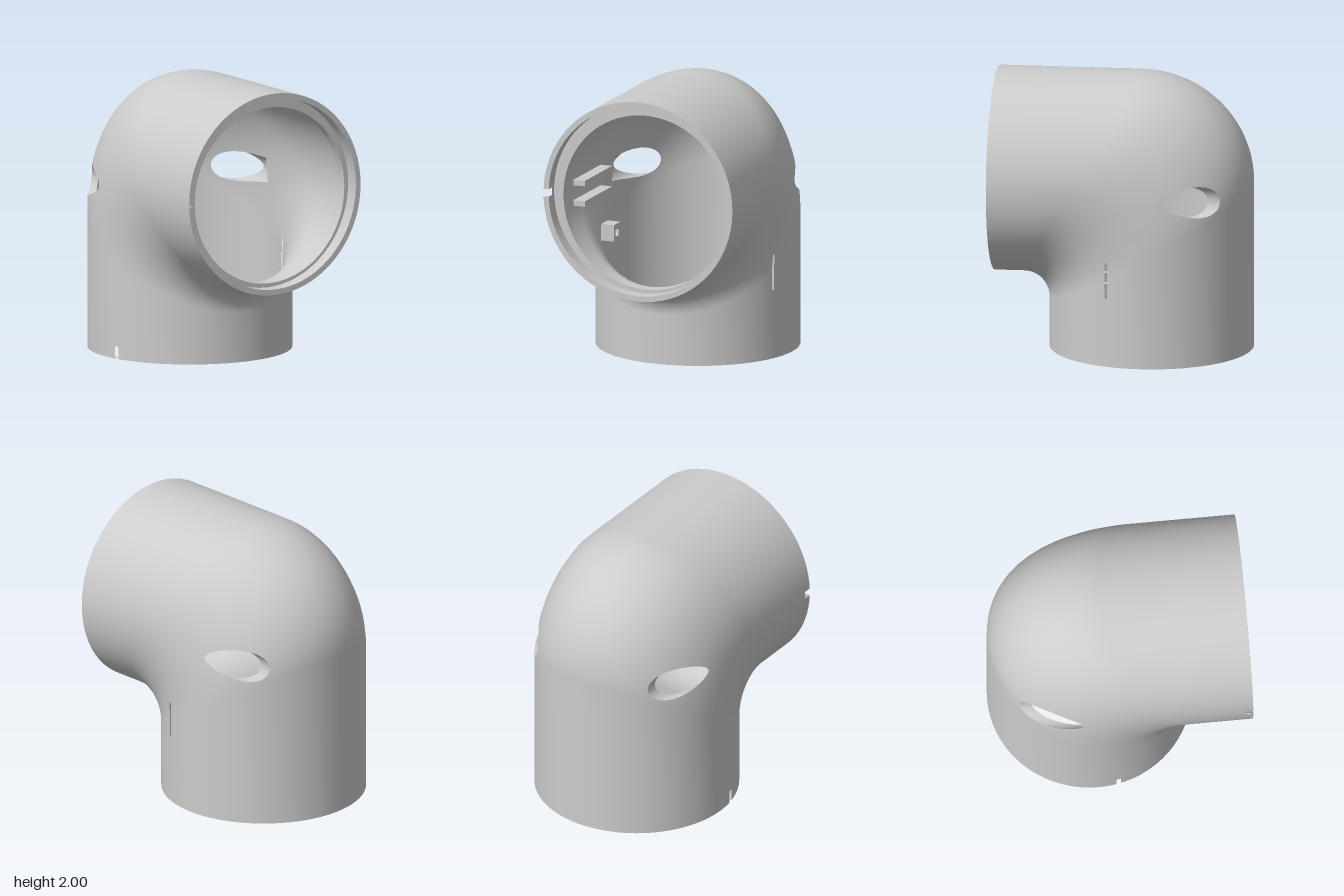
import * as THREE from 'three';
import { toCreasedNormals } from 'three/addons/utils/BufferGeometryUtils.js';

const AXIS_Y = 1.27, AXIS_Z = -0.185, OUT = 0.73, IN = 0.67, FRONT = 0.92, LIP = 0.82;
const BEND = 0.49, SEGS = 72, ARC = 22;

// Elbow skin: two crossing cylinders whose meeting line is rounded by a varying radius
function elbowGeometry(R, vary, frontZ, inward) {
  const pos = [], index = [], rows = ARC + 3;
  for (let i = 0; i < SEGS; i++) {
    const phi = (i / SEGS) * Math.PI * 2, c = Math.cos(phi), x = R * Math.sin(phi), d = R * c;
    const r = BEND + vary * c, zc = AXIS_Z - d + r, yc = AXIS_Y + d - r;
    pos.push(x, AXIS_Y + d, frontZ);
    for (let k = 0; k <= ARC; k++) {
      const t = (k / ARC) * Math.PI / 2;
      pos.push(x, yc + r * Math.cos(t), zc - r * Math.sin(t));
    }
    pos.push(x, 0, AXIS_Z - d);
    for (let j = 0; j < rows - 1; j++) {
      const a = i * rows + j, b = ((i + 1) % SEGS) * rows + j;
      if (inward) index.push(a, a + 1, b, b, a + 1, b + 1);
      else index.push(a, b, a + 1, b, b + 1, a + 1);
    }
  }
  const g = new THREE.BufferGeometry();
  g.setAttribute('position', new THREE.Float32BufferAttribute(pos, 3));
  g.setIndex(index);
  g.computeVertexNormals();
  return g;
}

// Depth of the rear wall at a given x, y
function rearZ(x, y, R, vary) {
  const c = Math.sqrt(Math.max(0, 1 - (x / R) ** 2)), d = R * c, r = BEND + vary * c;
  const h = y - (AXIS_Y + d - r);
  return h > 0 ? AXIS_Z - d + r - Math.sqrt(r * r - h * h) : AXIS_Z - d;
}

// Keeps the part of a polygon on one side of a plane [nx, ny, nz, w]
function clip(poly, p, sign) {
  const out = [], f = v => sign * (v[0] * p[0] + v[1] * p[1] + v[2] * p[2] - p[3]);
  poly.forEach((a, i) => {
    const b = poly[(i + 1) % poly.length], fa = f(a), fb = f(b);
    if (fa >= 0) out.push(a);
    if ((fa > 0 && fb < 0) || (fa < 0 && fb > 0)) {
      const t = fa / (fa - fb);
      out.push(a.map((v, k) => v + (b[k] - v) * t));
    }
  });
  return out.length > 2 ? out : [];
}

// Removes convex cutters (lists of planes) from a surface
function cut(geometry, cutters) {
  const g = geometry.index ? geometry.toNonIndexed() : geometry;
  const P = g.attributes.position, N = g.attributes.normal;
  let polys = [];
  for (let i = 0; i < P.count; i += 3) {
    polys.push([i, i + 1, i + 2].map(k =>
      [P.getX(k), P.getY(k), P.getZ(k), N.getX(k), N.getY(k), N.getZ(k)]));
  }
  for (const planes of cutters) {
    const next = [];
    for (const poly of polys) {
      let rest = poly;
      const pieces = [];
      for (const p of planes) {
        const outside = clip(rest, p, 1);
        if (outside.length) pieces.push(outside);
        rest = clip(rest, p, -1);
        if (!rest.length) break;
      }
      if (rest.length) next.push(...pieces); else next.push(poly);
    }
    polys = next;
  }
  const pos = [], nor = [];
  for (const q of polys) {
    for (let i = 1; i < q.length - 1; i++) {
      for (const v of [q[0], q[i], q[i + 1]]) {
        pos.push(v[0], v[1], v[2]);
        nor.push(v[3], v[4], v[5]);
      }
    }
  }
  const out = new THREE.BufferGeometry();
  out.setAttribute('position', new THREE.Float32BufferAttribute(pos, 3));
  out.setAttribute('normal', new THREE.Float32BufferAttribute(nor, 3));
  return out;
}

const boxCutter = (x0, x1, y0, y1, z0, z1) => [
  [1, 0, 0, x1], [-1, 0, 0, -x0], [0, 1, 0, y1], [0, -1, 0, -y0], [0, 0, 1, z1], [0, 0, -1, -z0]];

export function createModel() {
  const group = new THREE.Group();
  const material = new THREE.MeshStandardMaterial({ color: 0xcccccc });
  const open = new THREE.MeshStandardMaterial({ color: 0xcccccc, side: THREE.DoubleSide });
  const add = (name, geometry, mat = material) => {
    const mesh = new THREE.Mesh(geometry, mat);
    mesh.name = name;
    group.add(mesh);
    return mesh;
  };
  const lathe = (pts, start = 0, length = Math.PI * 2, segs = SEGS) =>
    new THREE.LatheGeometry(pts.map(p => new THREE.Vector2(...p)), segs, start, length);

  // Round rear holes, the side slit and the two rim notches
  const HX = 0.59, HY = 1.2, HR = 0.112, SIDES = 28;
  const cutters = [
    boxCutter(0.5, 0.8, 0.5, 0.76, 0.055, 0.075),
    boxCutter(-0.8, -0.5, -0.1, 0.09, -0.06, -0.025),
    boxCutter(-0.8, -0.6, 1.245, 1.3, 0.86, 1)];
  for (const s of [1, -1]) {
    const planes = [[0, 0, 1, AXIS_Z]];
    for (let i = 0; i < SIDES; i++) {
      const t = ((i + 0.5) / SIDES) * Math.PI * 2, c = Math.cos(t), n = Math.sin(t);
      planes.push([c, n, 0, c * s * HX + n * HY + HR * Math.cos(Math.PI / SIDES)]);
    }
    cutters.push(planes);
  }

  // Outer and inner skins
  add('outerShell', cut(elbowGeometry(OUT, 0.31, FRONT, false), cutters));
  add('innerWall', cut(elbowGeometry(IN, 0.25, LIP, true), cutters));

  // Walls of the rear holes
  for (const s of [1, -1]) {
    const pos = [], index = [];
    for (let i = 0; i <= SIDES; i++) {
      const t = (i / SIDES) * Math.PI * 2, x = s * HX + HR * Math.cos(t), y = HY + HR * Math.sin(t);
      pos.push(x, y, rearZ(x, y, OUT, 0.31), x, y, rearZ(x, y, IN, 0.25));
      if (i < SIDES) index.push(2 * i, 2 * i + 1, 2 * i + 2, 2 * i + 2, 2 * i + 1, 2 * i + 3);
    }
    const g = new THREE.BufferGeometry();
    g.setAttribute('position', new THREE.Float32BufferAttribute(pos, 3));
    g.setIndex(index);
    g.computeVertexNormals();
    add(s > 0 ? 'leftHoleWall' : 'rightHoleWall', g, open);
  }

  // Front rim with a stepped lip, and the plain bottom rim
  const frontRim = lathe([[IN, LIP], [0.69, LIP], [0.69, FRONT], [OUT, FRONT]]);
  frontRim.rotateX(Math.PI / 2).translate(0, AXIS_Y, 0);
  add('frontRim', cut(toCreasedNormals(frontRim, 0.6), cutters), open);
  const bottomRim = lathe([[IN, 0], [OUT, 0]]).translate(0, 0, AXIS_Z);
  add('bottomRim', cut(bottomRim, cutters), open);

  // Off-centre seating ring inside the front opening
  const ring = new THREE.Shape().absarc(0, AXIS_Y, 0.68, 0, Math.PI * 2, false);
  ring.holes.push(new THREE.Path().absarc(0.02, AXIS_Y - 0.025, 0.637, 0, Math.PI * 2, true));
  const ringGeo = new THREE.ExtrudeGeometry(ring, { depth: 0.07, bevelEnabled: false, curveSegments: 36 });
  add('seatingRing', toCreasedNormals(ringGeo.translate(0, 0, 0.75), 0.6));

  // Guide rails on the right inner wall
  for (const y of [1.12, 1.27]) {
    add('guideRail', new THREE.BoxGeometry(0.09, 0.04, 0.5).translate(-0.61, y, 0.3));
  }

  // Screw bosses: block with a round bore, pointing in from the wall
  const bossShape = new THREE.Shape([[-0.06, -0.06], [0.06, -0.06], [0.06, 0.06], [-0.06, 0.06]]
    .map(p => new THREE.Vector2(...p)));
  bossShape.holes.push(new THREE.Path().absarc(0, 0, 0.032, 0, Math.PI * 2, true));
  const bossGeo = toCreasedNormals(
    new THREE.ExtrudeGeometry(bossShape, { depth: 0.1, bevelEnabled: false }), 0.6);
  for (const [x, y, z, turn] of [[-0.58, 0.84, 0.16, 1.57], [-0.62, 0.42, 0.08, 2]]) {
    const boss = add('screwBoss', bossGeo);
    boss.position.set(x, y, z);
    boss.rotation.y = turn;
  }

  // Curved ribs and upright bars inside the lower pipe
  for (const y of [0.28, 0.36]) {
    const rib = lathe([[0.62, y], [0.68, y], [0.68, y + 0.03], [0.62, y + 0.03], [0.62, y]], -1.3, 1.2, 20);
    add('curvedRib', toCreasedNormals(rib.translate(0, 0, AXIS_Z), 0.6), open);
  }
  for (const a of [-1.75, -1.3, -0.6, -0.4, -0.2]) {
    const bar = add('uprightBar', new THREE.BoxGeometry(0.035, 0.28, 0.05));
    bar.position.set(0.65 * Math.sin(a), 0.25, AXIS_Z + 0.65 * Math.cos(a));
    bar.rotation.y = a;
  }
  return group;
}
